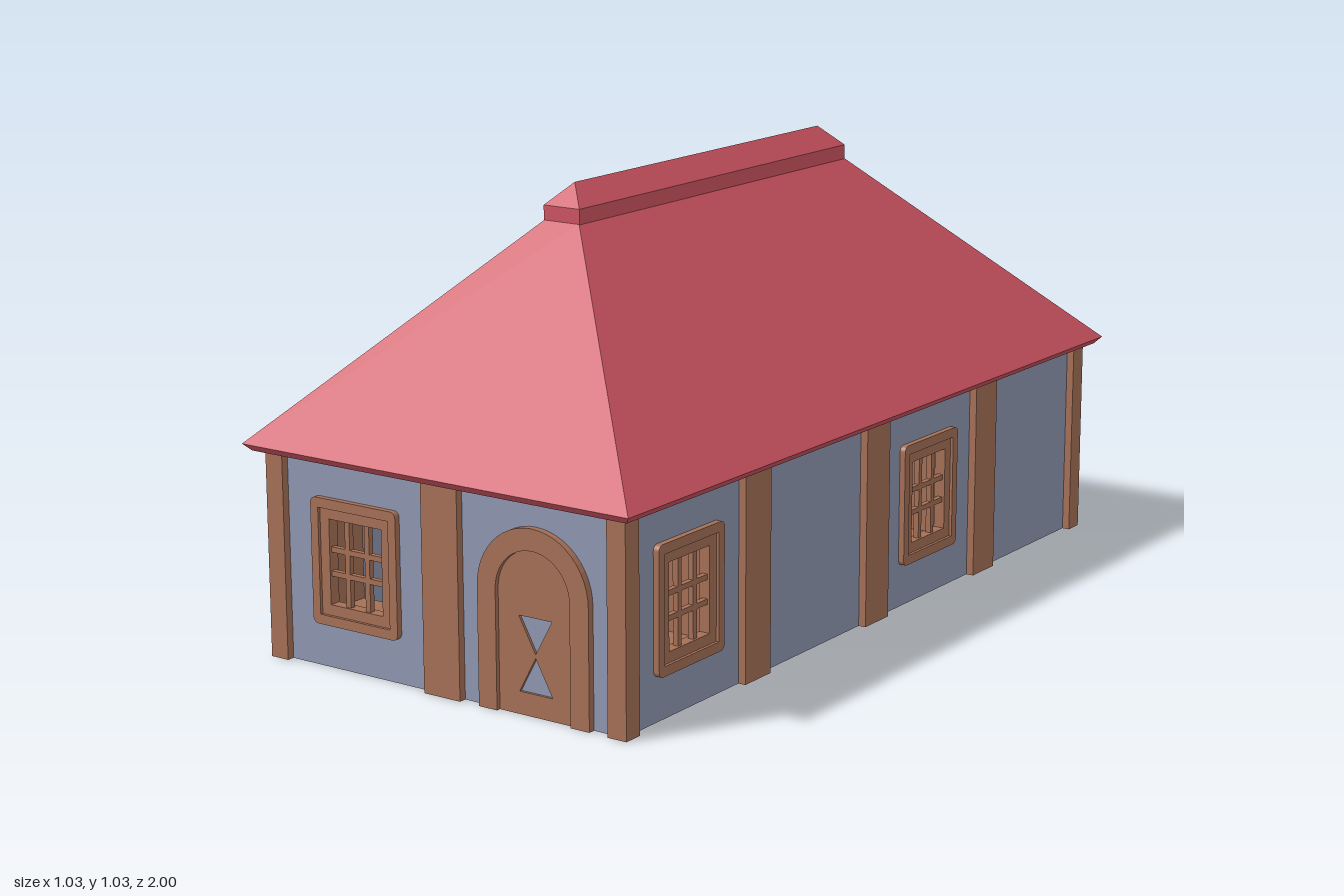
import * as THREE from 'three';

const wood = new THREE.MeshStandardMaterial({ color: 0xa57056 });
wood.name = 'wood brown';
const plaster = new THREE.MeshStandardMaterial({ color: 0x8f97b2 });
plaster.name = 'plaster blue grey';
const tile = new THREE.MeshStandardMaterial({ color: 0xcc5461 });
tile.name = 'roof red';

const WALL_H = 0.47, WALL_T = 0.02, WALL_X = 0.463, WALL_Z = 0.946;

function add(parent, name, geo, mat, x = 0, y = 0, z = 0) {
  const m = new THREE.Mesh(geo, mat);
  m.name = name;
  m.position.set(x, y, z);
  parent.add(m);
  return m;
}
const box = (w, h, d) => new THREE.BoxGeometry(w, h, d);
const extrude = (shape, depth) =>
  new THREE.ExtrudeGeometry(shape, { depth, bevelEnabled: false, curveSegments: 12 });

// Rectangle path, optionally with rounded corners
function rect(w, h, r = 0, cx = 0, cy = 0) {
  const s = new THREE.Shape(), x = w / 2, y = h / 2;
  if (!r) {
    return s.setFromPoints([[-x, -y], [x, -y], [x, y], [-x, y]].map(p => new THREE.Vector2(cx + p[0], cy + p[1])));
  }
  s.absarc(cx + x - r, cy - y + r, r, -Math.PI / 2, 0);
  s.absarc(cx + x - r, cy + y - r, r, 0, Math.PI / 2);
  s.absarc(cx - x + r, cy + y - r, r, Math.PI / 2, Math.PI);
  s.absarc(cx - x + r, cy - y + r, r, Math.PI, Math.PI * 1.5);
  s.closePath();
  return s;
}
function withHoles(shape, ...holes) {
  shape.holes.push(...holes);
  return shape;
}

// Solid made of stacked rectangles given as [y, halfX, halfZ]
function stack(rows) {
  const pos = [];
  const ring = ([y, x, z]) => [[-x, y, z], [x, y, z], [x, y, -z], [-x, y, -z]];
  const quad = (a, b, c, d) => pos.push(...a, ...b, ...c, ...a, ...c, ...d);
  for (let i = 0; i < rows.length - 1; i++) {
    const lo = ring(rows[i]), hi = ring(rows[i + 1]);
    for (let k = 0; k < 4; k++) {
      const n = (k + 1) % 4;
      quad(lo[k], lo[n], hi[n], hi[k]);
    }
  }
  const b = ring(rows[0]), t = ring(rows[rows.length - 1]);
  quad(b[3], b[2], b[1], b[0]);
  quad(t[0], t[1], t[2], t[3]);
  const g = new THREE.BufferGeometry();
  g.setAttribute('position', new THREE.Float32BufferAttribute(pos, 3));
  g.computeVertexNormals();
  return g;
}

// Window, local z = 0 on the outer wall face
const WIN_W = 0.195, WIN_H = 0.24, WIN_Y = 0.241;
function makeWindow() {
  const g = new THREE.Group();
  g.name = 'window';
  add(g, 'windowFrame', extrude(withHoles(rect(0.237, 0.284, 0.014), rect(WIN_W, WIN_H)), 0.014), wood);
  add(g, 'windowSash', extrude(withHoles(rect(WIN_W, WIN_H), rect(0.146, 0.192)), 0.027), wood, 0, 0, -0.02);
  for (const s of [-1, 1]) {
    add(g, 'verticalBar', box(0.013, 0.194, 0.013), wood, s * 0.0275, 0, -0.005);
    add(g, 'crossBar', box(0.148, 0.012, 0.013), wood, 0, s * 0.027, -0.005);
  }
  // Deep lining, facing into the opening
  const depth = 0.11, zc = -WALL_T - depth / 2;
  for (const s of [-1, 1]) {
    add(g, 'sideLining', new THREE.PlaneGeometry(depth, WIN_H), wood, s * WIN_W / 2, 0, zc)
      .rotation.y = -s * Math.PI / 2;
    add(g, 'levelLining', new THREE.PlaneGeometry(WIN_W, depth), wood, 0, s * WIN_H / 2, zc)
      .rotation.x = s * Math.PI / 2;
  }
  return g;
}

// Arched outline standing on y = 0
function arch(r, spring) {
  const s = new THREE.Shape();
  s.moveTo(-r, 0);
  s.lineTo(r, 0);
  s.absarc(0, spring, r, 0, Math.PI);
  s.closePath();
  return s;
}

function makeDoor() {
  const g = new THREE.Group();
  g.name = 'door';
  const spring = 0.265, ro = 0.144, ri = 0.096;
  const surround = new THREE.Shape();
  surround.moveTo(ri, 0);
  surround.lineTo(ro, 0);
  surround.absarc(0, spring, ro, 0, Math.PI);
  surround.lineTo(-ro, 0);
  surround.lineTo(-ri, 0);
  surround.absarc(0, spring, ri, Math.PI, 0, true);
  surround.closePath();
  add(g, 'doorSurround', extrude(surround, 0.05), wood, 0, 0, -0.034);
  // Leaf with two triangular cut-outs showing the plaster
  const tri = (tip, base) => new THREE.Path([[-0.043, base], [0.043, base], [0, tip]].map(p => new THREE.Vector2(...p)));
  const leaf = extrude(withHoles(arch(ri, spring), tri(0.137, 0.215), tri(0.129, 0.05)), 0.006);
  add(g, 'doorLeafOutside', leaf, wood);
  add(g, 'doorLeafInside', leaf, wood, 0, 0, -WALL_T - 0.006);
  return g;
}

// Wall facing local +z, with window openings and posts along it
function makeWall(name, width, offset, angle, windows, posts) {
  const g = new THREE.Group();
  g.name = name;
  const shape = rect(width, WALL_H, 0, 0, WALL_H / 2);
  for (const x of windows) shape.holes.push(rect(WIN_W, WIN_H, 0, x, WIN_Y));
  add(g, 'wallPanel', extrude(shape, WALL_T), plaster, 0, 0, offset - WALL_T);
  for (const x of windows) {
    const w = makeWindow();
    w.position.set(x, WIN_Y, offset);
    g.add(w);
  }
  for (const x of posts) add(g, 'wallPost', box(0.097, WALL_H, 0.05), wood, x, WALL_H / 2, offset - 0.007);
  g.rotation.y = angle;
  return g;
}

export function createModel() {
  const house = new THREE.Group();
  house.name = 'house';

  // Walls
  const front = makeWall('frontWall', WALL_X * 2, WALL_Z, 0, [-0.241], [0]);
  const door = makeDoor();
  door.position.set(0.242, 0, WALL_Z);
  front.add(door);
  house.add(front, makeWall('backWall', WALL_X * 2, WALL_Z, Math.PI, [], [0]));
  for (const s of [-1, 1]) {
    house.add(makeWall(s > 0 ? 'leftWall' : 'rightWall', (WALL_Z - WALL_T) * 2, WALL_X,
      s * Math.PI / 2, [-0.725, 0.24], [-0.485, 0, 0.485]));
  }

  // Corner posts
  for (const x of [-1, 1]) for (const z of [-1, 1]) {
    add(house, 'cornerPost', box(0.047, WALL_H, 0.047), wood, x * 0.4575, WALL_H / 2, z * 0.9405);
  }

  // Ceiling and cross beams
  add(house, 'ceiling', box((WALL_X - WALL_T) * 2, 0.008, (WALL_Z - WALL_T) * 2), wood, 0, 0.464, 0);
  for (const z of [-0.485, 0, 0.485]) {
    add(house, 'ceilingBeam', box(0.88, 0.008, 0.05), wood, 0, 0.457, z);
  }

  // Hipped roof and ridge cap
  add(house, 'roof', stack([[0.468, 0.5, 0.985], [0.484, 0.515, 1], [0.953, 0.046, 0.531]]), tile);
  add(house, 'ridgeCap', stack([[0.94, 0.048, 0.532], [0.985, 0.048, 0.532], [1.033, 0, 0.484]]), tile);
  return house;
}
